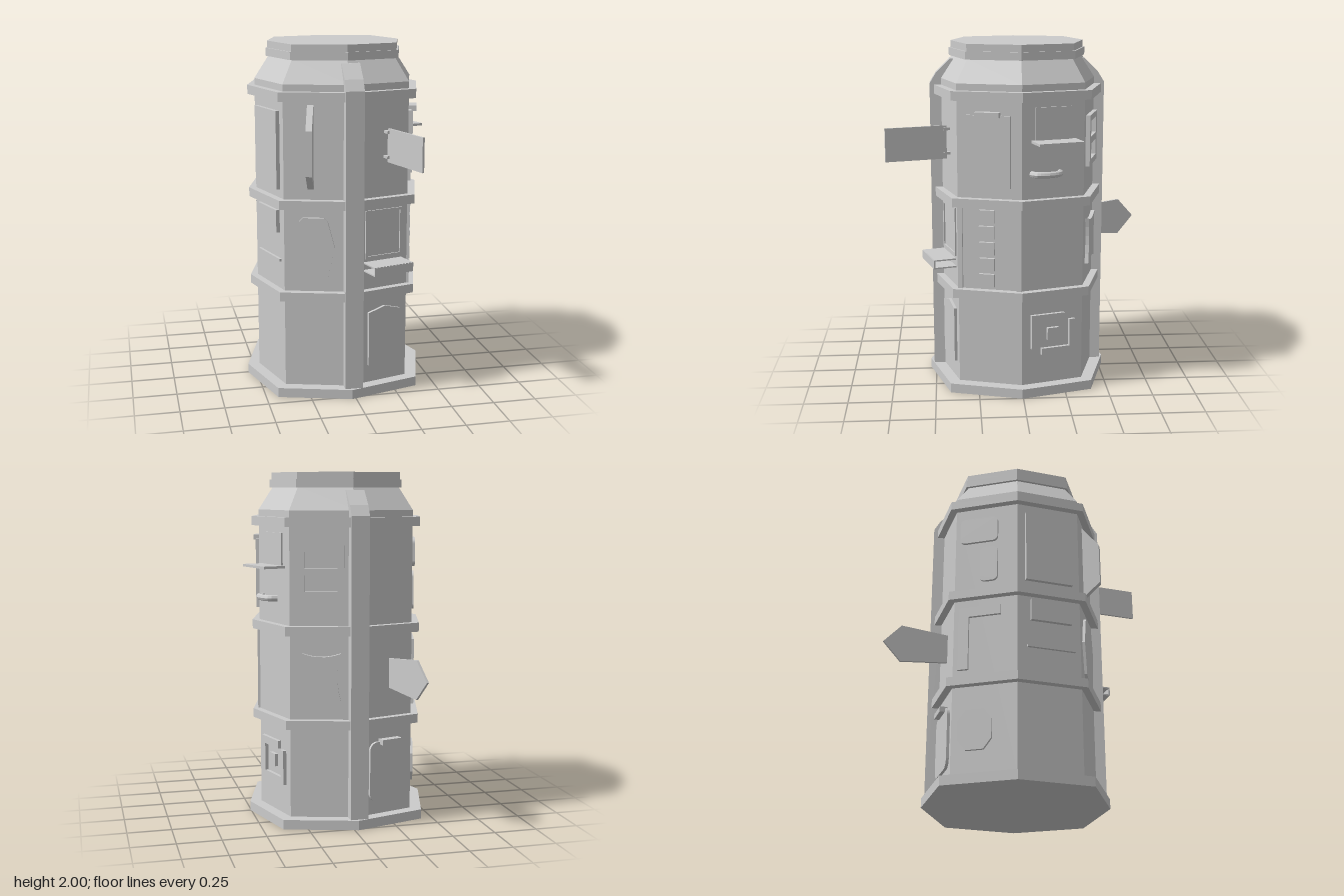
import * as THREE from 'three';

const mat = new THREE.MeshStandardMaterial({ color: 0xcccccc, flatShading: true, side: THREE.DoubleSide });
const WALL = 0.46, CORNER = 1.096; // diagonal corners sit further out than axial ones

function add(parent, name, geo, x = 0, y = 0, z = 0) {
  const m = new THREE.Mesh(geo, mat);
  m.name = name;
  m.position.set(x, y, z);
  parent.add(m);
  return m;
}

// Eight-sided solid from a [radius, height] profile
function octagon(parent, name, profile) {
  const geo = new THREE.LatheGeometry(profile.map(([r, y]) => new THREE.Vector2(r, y)), 8);
  const p = geo.attributes.position;
  for (let i = 0; i < p.count; i++) {
    const x = p.getX(i), z = p.getZ(i);
    if (Math.abs(x) > 0.01 && Math.abs(z) > 0.01) p.setXYZ(i, x * CORNER, p.getY(i), z * CORNER);
  }
  geo.computeVertexNormals();
  return add(parent, name, geo);
}
const slab = (r, y0, y1) => [[0, y0], [r, y0], [r, y1], [0, y1]];

// Outline helpers
const toShape = (pts) => new THREE.Shape(pts.map(([x, y]) => new THREE.Vector2(x, y)));
const rect = (u0, u1, y0, y1) => [[u0, y0], [u1, y0], [u1, y1], [u0, y1]];
function roundRect(u0, u1, y0, y1, r) {
  const s = new THREE.Shape();
  s.absarc(u1 - r, y1 - r, r, 0, Math.PI / 2);
  s.absarc(u0 + r, y1 - r, r, Math.PI / 2, Math.PI);
  s.absarc(u0 + r, y0 + r, r, Math.PI, Math.PI * 1.5);
  s.absarc(u1 - r, y0 + r, r, Math.PI * 1.5, Math.PI * 2);
  return s;
}

// Relief lying flat on a wall
function panel(face, name, outline, depth = 0.016, holes = []) {
  const s = Array.isArray(outline) ? toShape(outline) : outline;
  s.holes = holes.map(toShape);
  const geo = new THREE.ExtrudeGeometry(s, { depth: depth + 0.005, bevelEnabled: false, curveSegments: 5 });
  return add(face, name, geo, 0, 0, -0.005);
}

// Plate standing out from a wall, outline given as [outward, height]
function fin(face, name, u, thickness, pts) {
  const geo = new THREE.ExtrudeGeometry(toShape(pts), { depth: thickness, bevelEnabled: false });
  add(face, name, geo, u + thickness / 2, 0, 0).rotation.y = -Math.PI / 2;
}

function box(face, name, w, h, d, u, y, z) {
  return add(face, name, new THREE.BoxGeometry(w, h, d), u, y, z);
}

export function createModel() {
  const root = new THREE.Group();
  root.name = 'octagonalKiosk';
  const g = new THREE.Group();
  g.name = 'tower';
  g.position.set(-0.023, 0, 0.005);
  root.add(g);

  // Stacked body
  octagon(g, 'base', slab(0.528, 0, 0.055));
  octagon(g, 'walls', slab(WALL, 0.05, 1.72));
  for (const y of [0.57, 1.1, 1.7]) octagon(g, 'band', slab(0.502, y, y + 0.052));
  octagon(g, 'roof', [[0, 1.74], [0.46, 1.74], [0.46, 1.79], [0.375, 1.92], [0, 1.92]]);
  octagon(g, 'roofCollar', slab(0.394, 1.915, 1.96));
  octagon(g, 'roofCap', slab(0.384, 1.95, 2));

  // Straps over the front and back corners
  const strap = [[0.42, 0.05], [0.507, 0.05], [0.507, 1.76], [0.47, 1.82], [0.39, 1.9], [0.35, 1.9], [0.42, 1.75]];
  for (const [side, x] of [[1, 0.016], [-1, -0.01]]) {
    const holder = new THREE.Group();
    holder.name = side > 0 ? 'frontStrap' : 'backStrap';
    holder.rotation.y = side > 0 ? 0 : Math.PI;
    holder.position.x = x;
    fin(holder, 'strap', 0, 0.104, strap);
    g.add(holder);
  }

  // One group per wall: x runs right along the wall, z points outward
  const corner = (k) => {
    const a = k * Math.PI / 4, r = k % 2 ? WALL * CORNER : WALL;
    return new THREE.Vector3(Math.sin(a) * r, 0, Math.cos(a) * r);
  };
  const names = ['frontLeftWall', 'leftFrontWall', 'leftBackWall', 'backLeftWall',
    'backRightWall', 'rightBackWall', 'rightFrontWall', 'frontRightWall'];
  const [A, C, D, E, F, G, H, B] = names.map((name, k) => {
    const f = new THREE.Group(), a = corner(k), b = corner(k + 1);
    f.name = name;
    f.position.copy(a).add(b).multiplyScalar(0.5);
    f.rotation.y = Math.atan2(a.z - b.z, b.x - a.x);
    g.add(f);
    return f;
  });

  // Front left: long hexagon hatch, window with tray, side flag
  panel(A, 'hatch', [[-0.07, 0.16], [0.035, 0.13], [0.14, 0.16], [0.14, 0.48], [0.035, 0.51], [-0.07, 0.48]]);
  panel(A, 'windowFrame', rect(-0.09, 0.15, 0.8, 1.08), 0.008, [rect(-0.075, 0.135, 0.815, 1.065)]);
  for (const y of [0.735, 0.78]) box(A, 'trayPlate', 0.25, 0.008, 0.13, 0.023, y, 0.067);
  box(A, 'trayLip', 0.25, 0.05, 0.008, 0.023, 0.757, 0.13);
  fin(A, 'sideFlag', 0.045, 0.012, rect(0.02, 0.375, 1.35, 1.54));
  for (const y of [1.38, 1.52]) box(A, 'flagHinge', 0.03, 0.015, 0.05, 0.04, y, 0.015);

  // Front right: octagonal plate and tapered fin
  panel(B, 'plate', [[-0.14, 0.88], [-0.1, 0.7], [-0.08, 0.68], [0.04, 0.68], [0.06, 0.7],
    [0.1, 0.88], [0.06, 1.03], [0.04, 1.05], [-0.08, 1.05], [-0.1, 1.03]]);
  fin(B, 'taperedFin', -0.035, 0.035, [[0, 1.21], [0.1, 1.3], [0.1, 1.55], [0, 1.68]]);

  // Left front: door with grip, blank sign tiles, corner trims
  panel(C, 'door', rect(-0.13, 0.11, 1.215, 1.62));
  panel(C, 'doorEdge', rect(0.105, 0.122, 1.215, 1.62), 0.026);
  box(C, 'doorGrip', 0.14, 0.03, 0.05, -0.005, 1.625, 0.02);
  for (let i = 0; i < 5; i++) {
    const y = 0.64 + i * 0.093;
    panel(C, 'signTile', rect(-0.06, 0.028, y, y + 0.075), 0.018);
  }
  for (const u of [-0.172, 0.172]) panel(C, 'cornerTrim', rect(u - 0.014, u + 0.014, 0.62, 1.1), 0.014);

  // Left back: serving hatch with awning, bent handle, nested squares
  panel(D, 'servingHatch', rect(-0.108, 0.108, 1.48, 1.665), 0.01);
  box(D, 'awning', 0.265, 0.014, 0.14, 0, 1.476, 0.06);
  const grip = new THREE.CatmullRomCurve3([[-0.13, 0], [-0.11, 0.04], [-0.045, 0.055], [0.02, 0.04], [0.04, 0]]
    .map(([u, z]) => new THREE.Vector3(u, 1.295, z)));
  add(D, 'bentHandle', new THREE.TubeGeometry(grip, 14, 0.018, 8));
  panel(D, 'upperBracket', [[-0.133, 0.27], [-0.09, 0.27], [-0.09, 0.43], [0.07, 0.43], [0.07, 0.475], [-0.133, 0.475]], 0.02);
  panel(D, 'lowerBracket', [[-0.07, 0.23], [0.135, 0.23], [0.135, 0.43], [0.1, 0.43], [0.1, 0.27], [-0.07, 0.27]], 0.02);
  panel(D, 'centreSquare', rect(-0.035, 0.035, 0.318, 0.39), 0.02);

  // Back left: two-pane window and concave plate
  panel(E, 'paneFrame', rect(-0.14, 0.12, 1.31, 1.6), 0.025,
    [rect(-0.1, 0.08, 1.345, 1.435), rect(-0.1, 0.08, 1.475, 1.565)]);
  const pinched = new THREE.Shape();
  pinched.moveTo(-0.115, 0.73);
  pinched.quadraticCurveTo(-0.01, 0.77, 0.1, 0.73);
  pinched.quadraticCurveTo(0.06, 0.865, 0.1, 1.0);
  pinched.quadraticCurveTo(-0.01, 0.96, -0.115, 1.0);
  pinched.quadraticCurveTo(-0.075, 0.865, -0.115, 0.73);
  panel(E, 'concavePlate', pinched, 0.022);

  // Back right: pointed flag and rounded door with grip
  fin(F, 'pointedFlag', 0.04, 0.014, [[0, 0.785], [0.27, 0.76], [0.37, 0.87], [0.27, 0.98], [0, 0.955]]);
  panel(F, 'roundedDoor', roundRect(-0.1, 0.155, 0.13, 0.48, 0.05));
  box(F, 'roundedDoorGrip', 0.13, 0.03, 0.05, 0.03, 0.48, 0.02);

  // Right back: rounded plates, bracket, octagonal plate
  panel(G, 'widePlate', roundRect(-0.155, 0.07, 1.47, 1.63, 0.03));
  panel(G, 'tallPlate', roundRect(-0.035, 0.07, 1.21, 1.43, 0.03));
  panel(G, 'bracket', [[-0.155, 0.67], [-0.095, 0.67], [-0.095, 0.99], [0.09, 0.99], [0.09, 1.05], [-0.155, 1.05]]);
  panel(G, 'octagonPlate', [[-0.1, 0.2], [0.0, 0.2], [0.045, 0.26], [0.045, 0.37], [0.0, 0.43],
    [-0.1, 0.43], [-0.145, 0.37], [-0.145, 0.26]]);

  // Right front: tall panel, small box and ledge
  panel(H, 'tallPanel', rect(-0.14, 0.14, 1.2, 1.64), 0.022);
  panel(H, 'smallBox', rect(-0.11, 0.13, 0.95, 1.08), 0.022);
  panel(H, 'ledge', rect(-0.13, 0.15, 0.785, 0.8), 0.015);

  return root;
}
